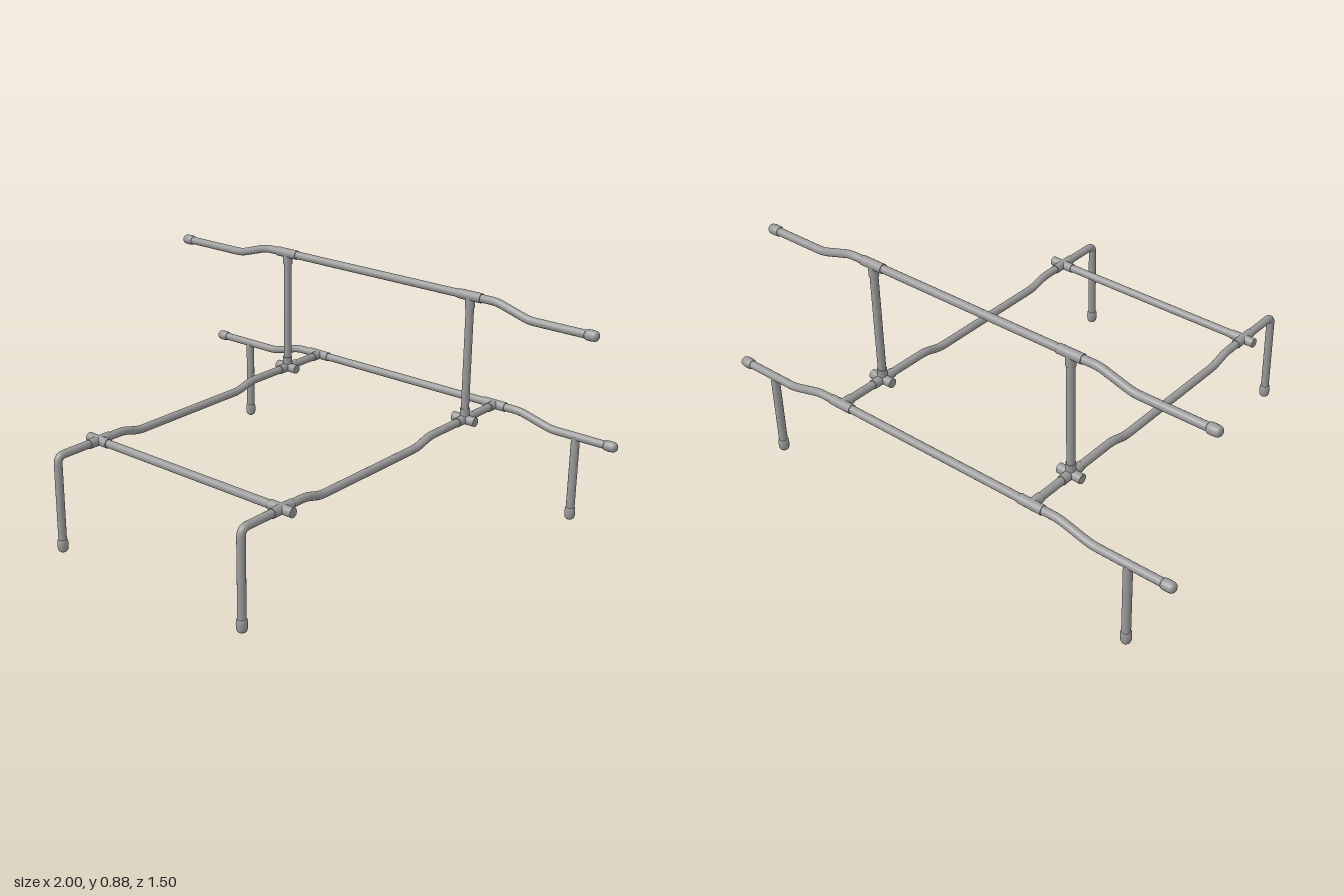
import * as THREE from 'three';

const R = 0.0155;
const V = (x, y, z) => new THREE.Vector3(x, y, z);

// Pipe centre line: sampled points, one tube ring per point
class PipeCurve extends THREE.Curve {
  constructor(points) { super(); this.points = points; }
  getPointAt(t, target = new THREE.Vector3()) {
    return target.copy(this.points[Math.round(t * (this.points.length - 1))]);
  }
  getPoint(t, target) { return this.getPointAt(t, target); }
  getTangentAt(t, target = new THREE.Vector3()) {
    const p = this.points, i = Math.round(t * (p.length - 1));
    target.set(0, 0, 0);
    if (i > 0) target.add(p[i].clone().sub(p[i - 1]).normalize());
    if (i < p.length - 1) target.add(p[i + 1].clone().sub(p[i]).normalize());
    return target.normalize();
  }
}

// Round each inner corner of a path with a short curve
function rounded(corners, bend) {
  const out = [corners[0]];
  for (let i = 1; i < corners.length - 1; i++) {
    const c = corners[i];
    const toward = q => c.clone().add(q.clone().sub(c).setLength(bend));
    const arc = new THREE.QuadraticBezierCurve3(toward(corners[i - 1]), c, toward(corners[i + 1]));
    out.push(...arc.getPoints(8));
  }
  out.push(corners[corners.length - 1]);
  return out;
}

export function createModel() {
  const group = new THREE.Group();
  const steel = new THREE.MeshStandardMaterial({ color: 0x9a9a9a });
  steel.name = 'steel grey';

  const add = (name, geometry) => {
    const mesh = new THREE.Mesh(geometry, steel);
    mesh.name = name;
    group.add(mesh);
    return mesh;
  };
  const aim = (mesh, dir) => mesh.quaternion.setFromUnitVectors(V(0, 1, 0), dir);

  const pipe = (name, corners, bend = 0.025) => {
    const pts = rounded(corners, bend);
    add(name, new THREE.TubeGeometry(new PipeCurve(pts), pts.length - 1, R, 16));
  };

  const rod = (name, a, b, r = R) => {
    const d = b.clone().sub(a);
    const mesh = add(name, new THREE.CylinderGeometry(r, r, d.length(), 16));
    mesh.position.copy(a).add(b).multiplyScalar(0.5);
    aim(mesh, d.normalize());
  };

  // Rounded plug whose tip sits at the given point, opening along dir
  const capShape = [[0, 0], [0.011, 0.001], [0.017, 0.006], [0.0195, 0.013],
    [0.0205, 0.03], [0.0195, 0.046], [0.0165, 0.05], [0.0, 0.05]]
    .map(([r, y]) => new THREE.Vector2(r, y));
  const cap = (name, tip, dir) => {
    const mesh = add(name, new THREE.LatheGeometry(capShape, 16));
    mesh.position.copy(tip);
    aim(mesh, dir);
  };

  // Sleeve of a pipe fitting, centred on a joint
  const sleeve = (name, c, axis, half = 0.05, r = 0.0185) =>
    rod(name, c.clone().addScaledVector(axis, -half), c.clone().addScaledVector(axis, half), r);
  const X = V(1, 0, 0), Y = V(0, 1, 0), Z = V(0, 0, 1);

  // Long cranked rails: lower at the back, upper on the posts
  const rail = (name, low, high, z) => {
    pipe(name, [V(-0.98, low, z), V(-0.67, low, z), V(-0.535, high, z),
      V(0.58, high, z), V(0.72, low, z), V(0.98, low, z)]);
    cap(name + 'CapRight', V(-1, low, z), X);
    cap(name + 'CapLeft', V(1, low, z), X.clone().negate());
  };
  const backZ = -0.726, postZ = -0.52, barZ = 0.53, frameY = 0.377, topY = 0.863;
  rail('lowerRail', 0.34, frameY, backZ);
  rail('upperRail', 0.822, topY, postZ);

  // Side frames with front leg, dropped middle, post and fittings
  for (const [side, x] of [['Right', -0.42], ['Left', 0.465]]) {
    pipe('sideFrame' + side, [V(x, 0.02, 0.728), V(x, frameY, 0.728), V(x, frameY, 0.405),
      V(x, 0.356, 0.335), V(x, 0.356, -0.222), V(x, frameY, -0.29), V(x, frameY, backZ)], 0.03);
    cap('frontFoot' + side, V(x, 0, 0.728), Y);
    rod('post' + side, V(x, frameY, postZ), V(x, topY, postZ));

    sleeve('topTee' + side, V(x, topY, postZ), X);
    rod('topTeeStem' + side, V(x, topY - 0.045, postZ), V(x, topY, postZ), 0.0185);
    sleeve('backTee' + side, V(x, frameY, backZ), X);
    rod('backTeeStem' + side, V(x, frameY, backZ), V(x, frameY, backZ + 0.045), 0.0185);
    for (const [place, z] of [['post', postZ], ['bar', barZ]]) {
      sleeve(place + 'CrossAlong' + side, V(x, frameY, z), Z);
      sleeve(place + 'CrossAcross' + side, V(x, frameY, z), X);
    }
    rod('postSocket' + side, V(x, frameY, postZ), V(x, frameY + 0.045, postZ), 0.0185);
  }

  // Front cross bar
  rod('frontBar', V(-0.42, frameY, barZ), V(0.465, frameY, barZ));

  // Outer back legs
  for (const [side, x] of [['Right', -0.816], ['Left', 0.827]]) {
    rod('backLeg' + side, V(x, 0.02, backZ), V(x, 0.34, backZ), 0.0165);
    cap('backFoot' + side, V(x, 0, backZ), Y);
  }

  return group;
}
